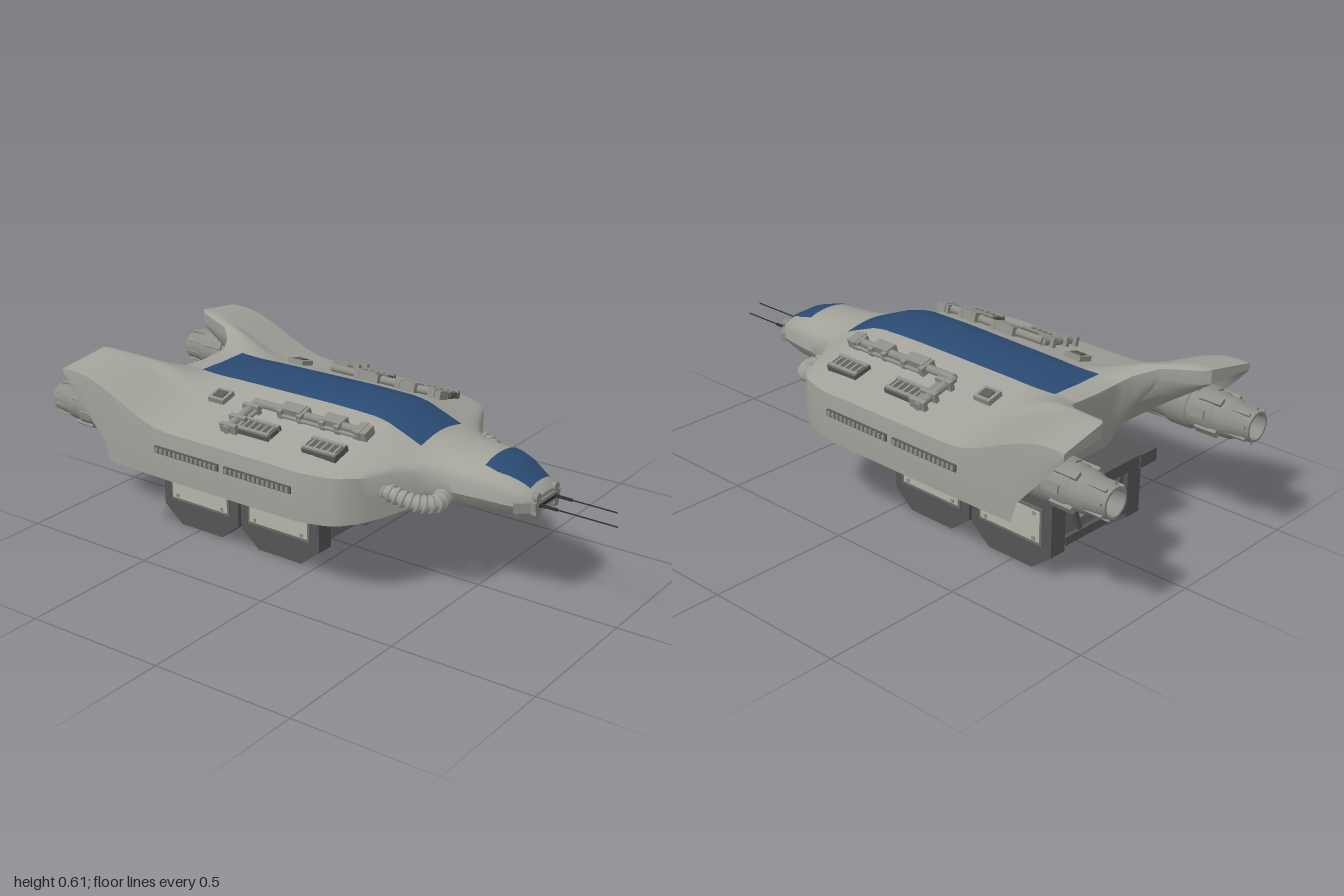
import * as THREE from 'three';
import { toCreasedNormals } from 'three/addons/utils/BufferGeometryUtils.js';

const paint = (name, color) => Object.assign(new THREE.MeshStandardMaterial({ color }), { name });
const M = {
  hull: paint('hull grey', 0xa2a29b),
  blue: paint('stripe blue', 0x2a4a72),
  detail: paint('fitting grey', 0x8e8e88),
  vent: paint('vent grey', 0x5c5c5a),
  pod: paint('pod grey', 0x6a6a6a),
  frame: paint('frame grey', 0x555555),
  panel: paint('panel light', 0xb4b4a8),
  dark: paint('dark metal', 0x2e2e2e),
};
M.blue.side = THREE.DoubleSide;

// Piecewise linear value from [position, value] pairs sorted by rising position
const key = (pts, p) => {
  if (p <= pts[0][0]) return pts[0][1];
  for (let i = 1; i < pts.length; i++) {
    const [a, va] = pts[i - 1], [b, vb] = pts[i];
    if (p <= b) return va + (vb - va) * (p - a) / (b - a);
  }
  return pts[pts.length - 1][1];
};
const { lerp, smoothstep } = THREE.MathUtils;

// Hull rules: half width, centre line, edge line and belly along z
const WIDTH = [[-.88, .435], [-.4, .44], [.1, .44], [.18, .425], [.24, .4], [.28, .36], [.31, .31], [.35, .235], [.4, .175],
  [.45, .15], [.6, .134], [.65, .12], [.69, .104], [.72, .083], [.74, .06]];
const CREST = [[-.64, .545], [-.4, .56], [0, .568], [.17, .567], [.22, .56], [.36, .502], [.45, .492], [.58, .485], [.65, .465], [.72, .425], [.74, .4]];
const EDGE = [[-.88, .47], [-.4, .455], [0, .455], [.25, .45], [.35, .44], [.45, .42], [.6, .415], [.74, .385]];
const BELLY = [[0, .286], [.2, .288], [.35, .3], [.5, .31], [.6, .315], [.7, .325], [.74, .34]];
const REAR_Z = [[0, -.64], [.1, -.642], [.15, -.665], [.2, -.72], [.225, -.8], [.245, -.87], [.44, -.885]];
const REAR_Y = [[0, .54], [.1, .545], [.17, .57], [.25, .61], [.44, .58]];
const SLOPE = [[0, 1], [.12, .97], [.25, .84], [.6, .42], [.92, .09], [1, 0]];
const BACK = -.4;

function topAt(x, z) {
  const ax = Math.abs(x), s = Math.min(1, ax / key(WIDTH, z));
  const f = Math.max(0, (BACK - z) / (BACK - key(REAR_Z, ax)));
  const g = lerp(key(SLOPE, s), Math.sqrt(1 - s * s), smoothstep(z, .22, .45));
  const base = lerp(key(EDGE, z), key(CREST, z), g);
  return lerp(base, key(REAR_Y, ax), smoothstep(f, .08, .9));
}
function bottomAt(x, z, f, s) {
  const nose = smoothstep(z, .3, .5), b = key(BELLY, z);
  if (f <= 0) return lerp(b + .008 * (1 - s * s), b + (key(EDGE, z) - b) * .35 * s ** 4, nose);
  const centre = key([[0, .294], [.76, .295], [.92, .4], [1, .52]], f);
  const wing = key([[0, .29], [.24, .3], [.6, .43], [1, .56]], f);
  const outer = key([[0, .286], [.6, .29], [.64, .36], [1, .555]], f);
  return Math.abs(s) > .99 ? outer : lerp(centre, wing, smoothstep(Math.abs(x), .1, .24));
}

function hullGeometry() {
  const N = 44, rows = [];
  for (let z = .74; z > .2; z -= .02) rows.push([z, 0]);
  for (let z = .2; z > BACK + .01; z -= .05) rows.push([z, 0]);
  for (let i = 0; i <= 25; i++) rows.push([BACK, i / 25]);
  const pos = [], index = [], ring = 2 * N + 4;
  for (const [z0, f] of rows) {
    const top = [], low = [];
    for (let i = 0; i <= N; i++) {
      const s = i / N * 2 - 1, x = s * key(WIDTH, z0);
      const z = f ? lerp(BACK, key(REAR_Z, Math.abs(x)), f) : z0;
      top.push([x, topAt(x, z), z]);
      low.push([x * lerp(1, .88, smoothstep(z, .3, .5)), bottomAt(x, z, f, s), z]);
    }
    const mid = i => [top[i][0] + Math.sign(top[i][0]) * .004, (top[i][1] + low[i][1]) / 2, top[i][2]];
    pos.push(...[...top, mid(N), ...low.reverse(), mid(0)].flat());
  }
  const quad = (a, b, c, d) => index.push(a, b, c, a, c, d);
  for (let r = 0; r < rows.length - 1; r++)
    for (let j = 0; j < ring; j++) {
      const k = (j + 1) % ring, o = r * ring;
      quad(o + j, o + k, o + ring + k, o + ring + j);
    }
  const last = (rows.length - 1) * ring, under = i => 2 * N + 2 - i;
  for (let i = 0; i < N; i++) {
    quad(i, under(i), under(i + 1), i + 1);
    quad(last + i + 1, last + under(i + 1), last + under(i), last + i);
  }
  // small triangles beside the two end caps
  for (const [o, flip] of [[0, 0], [last, 1]])
    for (const t of [[N, under(N), N + 1], [0, ring - 1, under(0)]])
      index.push(...(flip ? t.reverse() : t).map(v => v + o));
  const g = new THREE.BufferGeometry();
  g.setAttribute('position', new THREE.Float32BufferAttribute(pos, 3));
  g.setIndex(index);
  return toCreasedNormals(g, .65);
}

// Thin painted patch lying on the hull top
function patch(z0, z1, half) {
  const g = new THREE.PlaneGeometry(2, 1, 14, 50), p = g.attributes.position;
  for (let i = 0; i < p.count; i++) {
    const z = lerp(z0, z1, .5 - p.getY(i)), x = p.getX(i) * half(z);
    p.setXYZ(i, x, topAt(x, z) + .004, z);
  }
  g.computeVertexNormals();
  return g;
}

export function createModel() {
  const model = new THREE.Group();
  model.name = 'dropship';
  const add = (name, geo, mat, x = 0, y = 0, z = 0, parent = model) => {
    const m = new THREE.Mesh(geo, mat);
    m.name = name;
    m.position.set(x, y, z);
    parent.add(m);
    return m;
  };
  const box = (name, w, h, d, mat, x, y, z, parent) => add(name, new THREE.BoxGeometry(w, h, d), mat, x, y, z, parent);
  const rod = (name, r, len, mat, x, y, z, axis, parent) => {
    const m = add(name, new THREE.CylinderGeometry(r, r, len, 12), mat, x, y, z, parent);
    m.rotation[axis === 'z' ? 'x' : 'z'] = Math.PI / 2;
    return m;
  };

  add('hull', hullGeometry(), M.hull);
  add('backStripe', patch(-.56, .35, z => lerp(.105, .115, (z + .56) / .91)), M.blue);
  add('cockpitWindow', patch(.57, .715, z => lerp(.088, .058, smoothstep(z, .6, .72))), M.blue);

  // Nose plate, sensors and probes
  box('noseBar', .15, .03, .02, M.detail, 0, .37, .735);
  box('noseSlot', .11, .009, .006, M.dark, 0, .37, .746);
  for (const s of [-1, 1]) {
    const wing = box('noseBarEnd', .05, .034, .02, M.detail, s * .093, .37, .708);
    wing.rotation.y = s * .8;
    for (const y of [.397, .345]) rod('noseBolt', .015, .02, M.detail, s * .055, y, .735, 'z');
    const len = s < 0 ? .28 : .23;
    rod('probe', .0022, len, M.dark, s * .045, .37, .73 + len / 2, 'z');
    rod('probeBase', .005, .07, M.dark, s * .045, .37, .77, 'z');
  }

  for (const s of [-1, 1]) {
    // Ribbed hose from nose to shoulder
    const path = new THREE.CatmullRomCurve3([[.13, .36, .45], [.19, .352, .462], [.24, .36, .425], [.265, .38, .36], [.26, .39, .28]]
      .map(([x, y, z]) => new THREE.Vector3(s * x, y, z)));
    add('hose', new THREE.TubeGeometry(path, 32, .024, 10), M.hull);
    for (let i = 1; i < 13; i++) {
      const rib = add('hoseRib', new THREE.TorusGeometry(.023, .008, 6, 14), M.hull);
      rib.position.copy(path.getPointAt(i / 13));
      rib.lookAt(rib.position.clone().add(path.getTangentAt(i / 13)));
    }

    // Long slatted side vents
    for (const z of [-.045, -.34]) {
      box('sideVent', .008, .024, .27, M.vent, s * .445, .39, z);
      for (let i = 0; i < 14; i++) box('sideVentSlat', .008, .016, .01, M.detail, s * .449, .39, z - .124 + i * .019);
    }

    // Deck machinery, each piece tilted to the deck slope
    const deck = (x, z) => {
      const g = new THREE.Group();
      g.name = 'deckFitting';
      g.position.set(s * x, topAt(x, z), z);
      g.rotation.z = Math.atan2(topAt(s * x + .03, z) - topAt(s * x - .03, z), .06);
      model.add(g);
      return g;
    };
    const run = deck(.205, .03);
    rod('deckPipe', .014, .44, M.detail, 0, .014, -.05, 'z', run);
    rod('deckPipeThin', .007, .3, M.detail, s * .024, .01, .01, 'z', run);
    for (const z of [-.15, -.07, .02, .08, .16]) box('pipeClamp', .058, .03, .018, M.detail, 0, .014, z, run);
    for (const z of [-.11, .05]) box('pipeHousing', .042, .036, .075, M.detail, -s * .006, .014, z, run);
    box('pipeEnd', .05, .03, .05, M.detail, 0, .012, .165, run);
    const cross = deck(.285, -.235);
    rod('crossPipe', .015, .17, M.detail, 0, .016, 0, 'x', cross);
    rod('crossPipeThin', .008, .15, M.detail, 0, .014, .026, 'x', cross);
    for (const x of [-.05, .02, .07]) box('crossClamp', .016, .036, .065, M.detail, s * x, .014, .005, cross);
    for (const [x, z] of [[.315, -.14], [.315, .125]]) {
      const v = deck(x, z);
      box('deckVent', .072, .02, .13, M.vent, 0, .006, 0, v);
      for (const dx of [-.026, .026]) box('deckVentRail', .012, .028, .13, M.detail, dx, .008, 0, v);
      for (let i = 0; i < 5; i++) box('deckVentSlat', .05, .026, .008, M.detail, 0, .006, -.05 + i * .025, v);
    }
    const hatch = deck(.21, -.385);
    box('hatch', .06, .022, .065, M.detail, 0, .006, 0, hatch);
    box('hatchGrille', .034, .008, .04, M.vent, 0, .017, 0, hatch);

    // Engine with hollow nozzle and bolted plates
    const engine = new THREE.Group();
    engine.name = 'engine';
    engine.position.set(s * .342, .43, 0);
    model.add(engine);
    const profile = [[.001, .55], [.06, .55], [.068, .68], [.076, .7], [.076, .77], [.07, .775], [.072, .86], [.066, .87],
      [.064, .915], [.058, .925], [.05, .995], [.042, .995], [.036, .93]].map(p => new THREE.Vector2(...p));
    const shell = add('engineShell', toCreasedNormals(new THREE.LatheGeometry(profile, 24), .5), M.detail, 0, 0, 0, engine);
    shell.rotation.x = -Math.PI / 2;
    const core = add('nozzleCore', new THREE.CircleGeometry(.038, 20), M.vent, 0, 0, -.93, engine);
    core.rotation.y = Math.PI;
    for (let i = 0; i < 8; i++) {
      const a = i * Math.PI / 4 + .2;
      const plate = box('enginePlate', .012, .026, .05 + .03 * (i % 2), M.detail, .072 * Math.cos(a), .072 * Math.sin(a), -.82 - .03 * (i % 2), engine);
      plate.rotation.z = a;
      const bolt = box('nozzleRib', .008, .01, .07, M.detail, .056 * Math.cos(a), .056 * Math.sin(a), -.95, engine);
      bolt.rotation.z = a;
    }
    box('engineMount', .06, .1, .14, M.hull, 0, .06, -.72, engine);
  }

  // Cargo pods under the belly
  const slab = (name, z0, z1, low, inset, x0, x1, mat) => {
    const a = -z0 + inset, b = -z1 - inset, c = .075;
    const shape = new THREE.Shape([[a, .27], [a, low + .06], [a + c, low], [b - c, low], [b, low + .06], [b, .27]].map(p => new THREE.Vector2(...p)));
    const m = add(name, new THREE.ExtrudeGeometry(shape, { depth: x1 - x0, bevelEnabled: false }), mat, x0);
    m.rotation.y = Math.PI / 2;
  };
  box('podRoof', .45, .04, .72, M.frame, 0, .28, -.34);
  for (const [z0, z1] of [[.02, -.312], [-.325, -.657]]) {
    const zc = (z0 + z1) / 2;
    slab('podBody', z0, z1, .02, .012, -.2, .2, M.pod);
    for (const s of [-1, 1]) {
      const [x0, x1] = s > 0 ? [.15, .215] : [-.215, -.15];
      slab('podFrame', z0, z1, .002, 0, x0, x1, M.frame);
      box('podWindowFrame', .008, .128, .262, M.pod, s * .216, .155, zc, model);
      box('podWindow', .006, .108, .245, M.panel, s * .219, .155, zc, model);
      for (const dz of [-.1, .1]) for (const y of [.112, .198]) box('windowBolt', .006, .012, .012, M.detail, s * .222, y, zc + dz);
    }
    for (const dz of [-.06, 0, .06]) box('bellyRib', .26, .008, .02, M.frame, 0, .018, zc + dz);
  }

  // Rear door of the pods
  box('doorHeader', .3, .03, .02, M.frame, 0, .25, -.65);
  box('doorSill', .3, .03, .02, M.frame, 0, .095, -.65);
  const pane = new THREE.Shape([[-.1, .04], [-.07, -.04], [.07, -.04], [.1, .04]].map(p => new THREE.Vector2(...p)));
  const window = add('doorWindow', new THREE.ShapeGeometry(pane), M.panel, 0, .185, -.648);
  window.material.side = THREE.DoubleSide;
  for (const s of [-1, 1]) {
    const strut = box('doorStrut', .016, .13, .016, M.frame, s * .1, .175, -.652);
    strut.rotation.z = -s * .35;
    box('roofCorner', .08, .045, .05, M.frame, s * .19, .278, .0);
    box('roofCorner', .08, .045, .05, M.frame, s * .19, .278, -.68);
  }

  model.rotation.y = -.014;
  return model;
}
